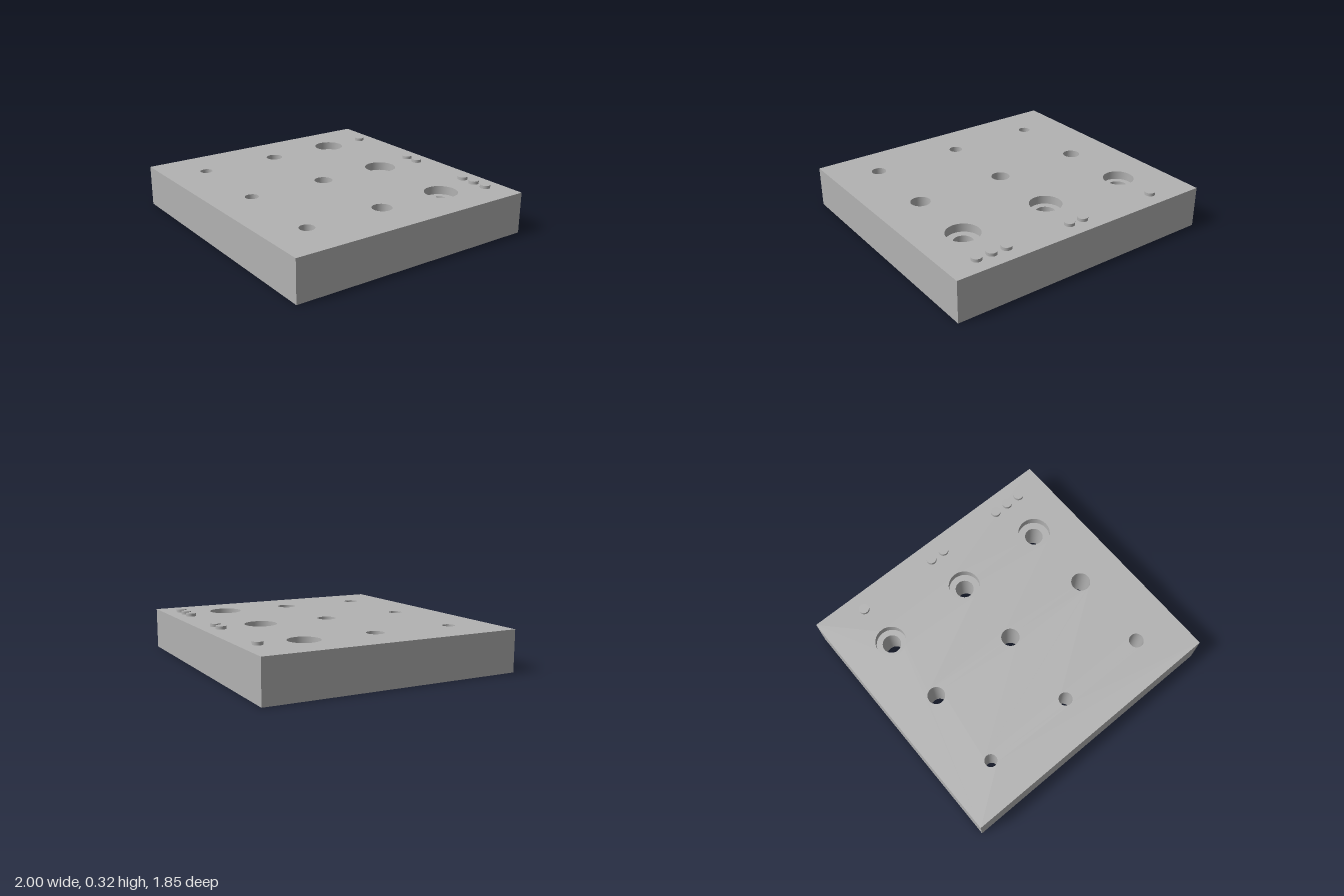
import * as THREE from 'three';
import { mergeGeometries } from 'three/addons/utils/BufferGeometryUtils.js';

const HALF_X = 1, HALF_Z = 0.925, TOP = 0.296, PEG_TOP = 0.318;
const SEGMENTS = 48, BORE_DEPTH = 0.06;

const columns = [-0.667, 0, 0.667];
// One entry per row of holes: radii from the left column to the right one
const rows = [
  { z: -0.485, radii: [0.066, 0.066, 0.066], bores: [0.109, 0.113, 0.117] },
  { z: 0.035, radii: [0.061, 0.065, 0.069] },
  { z: 0.626, radii: [0.044, 0.048, 0.052] },
];
const holes = rows.flatMap(({ z, radii, bores }) =>
  columns.map((x, i) => ({ x, z, r: radii[i], bore: bores ? bores[i] : radii[i] })));

// Flat plate face with round openings, lying in the xz plane
function plateFace(radiusKey, y, up) {
  const s = up ? -1 : 1;
  const shape = new THREE.Shape([
    new THREE.Vector2(-HALF_X, -HALF_Z), new THREE.Vector2(HALF_X, -HALF_Z),
    new THREE.Vector2(HALF_X, HALF_Z), new THREE.Vector2(-HALF_X, HALF_Z),
  ]);
  for (const h of holes) {
    const points = [];
    for (let i = 0; i < SEGMENTS; i++) {
      const a = (i / SEGMENTS) * Math.PI * 2;
      points.push(new THREE.Vector2(h.x + h[radiusKey] * Math.cos(a), s * h.z + h[radiusKey] * Math.sin(a)));
    }
    shape.holes.push(new THREE.Path(points));
  }
  return new THREE.ShapeGeometry(shape).rotateX(s * Math.PI / 2).translate(0, y, 0);
}

// Inner surface of a hole, with a sharp step where it is counterbored
function holeWall({ r, bore }) {
  const floor = TOP - BORE_DEPTH;
  const profile = bore > r
    ? [[bore, TOP], [bore, floor], [r, floor], [r, 0]]
    : [[r, TOP], [r, 0]];
  const bands = profile.slice(1).map((end, i) => new THREE.LatheGeometry(
    [new THREE.Vector2(...profile[i]), new THREE.Vector2(...end)], SEGMENTS));
  return mergeGeometries(bands);
}

export function createModel() {
  const group = new THREE.Group();
  const grey = new THREE.MeshStandardMaterial({ color: 0xb2b2b2 });
  grey.name = 'grey';
  const add = (name, geometry, x = 0, y = 0, z = 0) => {
    const mesh = new THREE.Mesh(geometry, grey);
    mesh.name = name;
    mesh.position.set(x, y, z);
    group.add(mesh);
  };

  // Plate: drilled top and bottom, four sides
  add('plateTop', plateFace('bore', TOP, true));
  add('plateBottom', plateFace('r', 0, false));
  for (let i = 0; i < 4; i++) {
    const [width, distance] = i % 2 ? [2 * HALF_Z, HALF_X] : [2 * HALF_X, HALF_Z];
    add('plateSide', new THREE.PlaneGeometry(width, TOP)
      .translate(0, TOP / 2, distance).rotateY(i * Math.PI / 2));
  }

  // Through holes
  for (const h of holes) add(h.bore > h.r ? 'counterboredHole' : 'hole', holeWall(h), h.x, 0, h.z);

  // Marker pegs: one, two and three beside the columns
  const pegHeight = PEG_TOP - TOP;
  columns.forEach((x, column) => {
    for (let i = 0; i <= column; i++) {
      add('markerPeg', new THREE.CylinderGeometry(0.036, 0.036, pegHeight, 32),
        x + (i - column / 2) * 0.111, TOP + pegHeight / 2, -0.798);
    }
  });
  return group;
}
